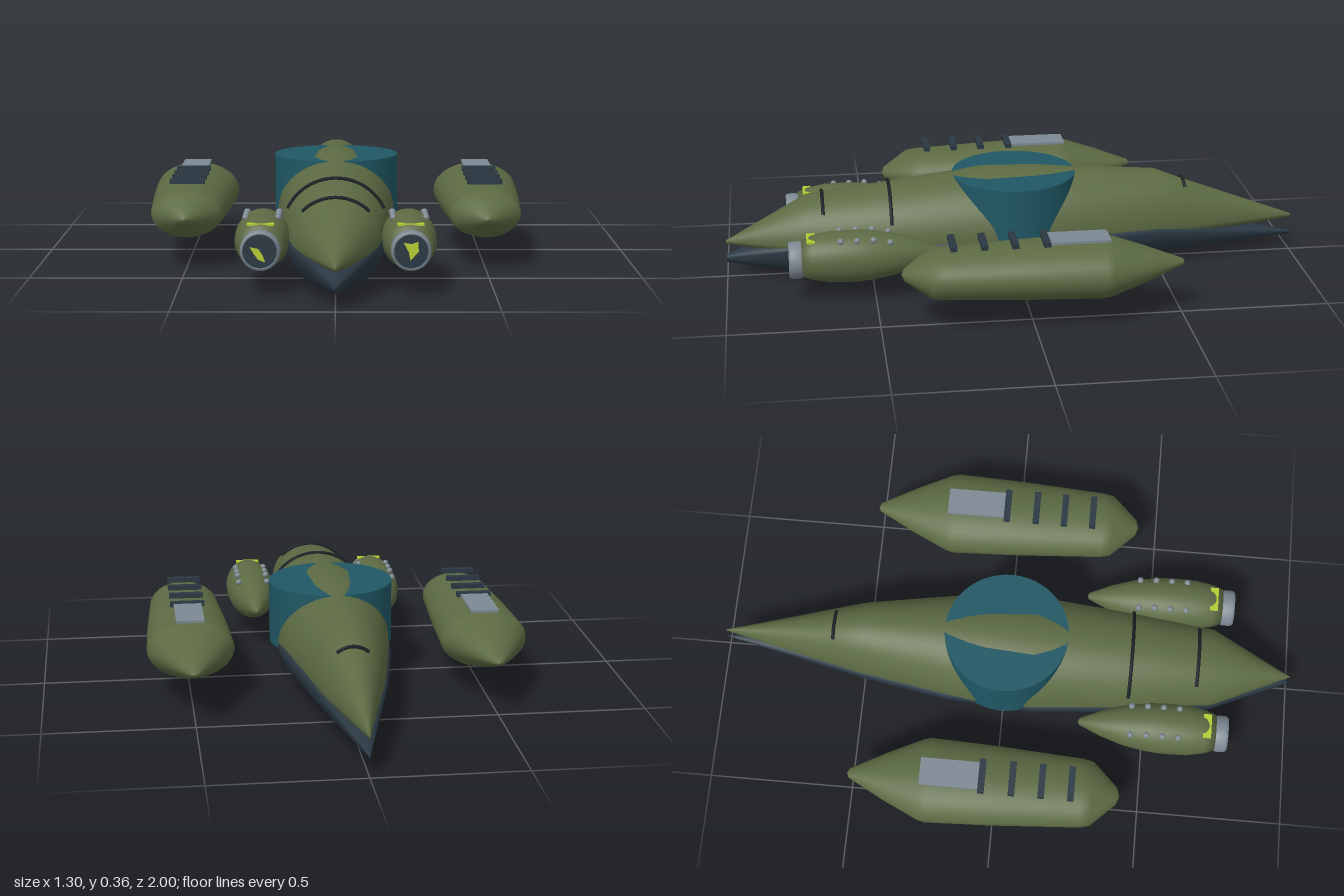
import * as THREE from 'three';

const mat = (name, color) => {
  const m = new THREE.MeshStandardMaterial({ color });
  m.name = name;
  return m;
};

// Hull stations: z, half width, widest height, top, bottom
const UPPER = [
  [1, 0, 0.13, 0.136, 0.122], [0.72, 0.137, 0.15, 0.285, 0.085], [0.42, 0.172, 0.15, 0.32, 0.07],
  [0.1, 0.2, 0.15, 0.36, 0.06], [-0.07, 0.195, 0.15, 0.356, 0.06], [-0.2, 0.178, 0.15, 0.347, 0.06],
  [-0.5, 0.124, 0.15, 0.328, 0.075], [-0.6, 0.1, 0.147, 0.288, 0.085], [-1, 0, 0.132, 0.138, 0.125],
];
const LOWER = [
  [1, 0, 0.07, 0.085, 0.055], [0.72, 0.142, 0.14, 0.19, 0.008], [0.42, 0.178, 0.14, 0.2, 0.003],
  [0.1, 0.206, 0.14, 0.2, 0.002], [-0.2, 0.186, 0.14, 0.2, 0.011], [-0.5, 0.132, 0.135, 0.18, 0.027],
  [-1, 0, 0.068, 0.075, 0.061],
];

// Station values at any z
function stationAt(st, z) {
  const i = Math.max(1, st.findIndex(s => s[0] <= z));
  const a = st[i - 1], b = st[i], t = (a[0] - z) / (a[0] - b[0]);
  return a.map((v, k) => v + (b[k] - v) * t);
}

function ringPoint([z, w, y, top, bottom], a, grow = 0) {
  const s = Math.sin(a);
  const h = s >= 0 ? top - y : y - bottom;
  return new THREE.Vector3((w + grow) * Math.cos(a), y + (h + grow) * s, z);
}

function loft(stations, n = 48) {
  const pos = [], idx = [];
  stations.forEach(s => {
    for (let j = 0; j < n; j++) pos.push(...ringPoint(s, (j / n) * Math.PI * 2).toArray());
  });
  for (let i = 0; i < stations.length - 1; i++) {
    for (let j = 0; j < n; j++) {
      const k = (j + 1) % n, f = i * n, b = f + n;
      idx.push(b + j, b + k, f + j, b + k, f + k, f + j);
    }
  }
  const g = new THREE.BufferGeometry();
  g.setAttribute('position', new THREE.Float32BufferAttribute(pos, 3));
  g.setIndex(idx);
  g.computeVertexNormals();
  return g;
}

// Lathe around the z axis from [radius, z] points, z rising
const latheZ = (pts, n = 40) =>
  new THREE.LatheGeometry(pts.map(p => new THREE.Vector2(...p)), n).rotateX(Math.PI / 2);

export function createModel() {
  const model = new THREE.Group();
  const green = mat('olive green', 0x5c6a43);
  const navy = mat('dark navy', 0x2a3843);
  const teal = mat('deep teal', 0x1f5764);
  const grey = mat('steel grey', 0x7d8993);
  const lime = mat('lime', 0xb4cc33);
  const seam = mat('seam black', 0x1a2226);

  const add = (parent, name, geo, material, x = 0, y = 0, z = 0) => {
    const m = new THREE.Mesh(geo, material);
    m.name = name;
    m.position.set(x, y, z);
    parent.add(m);
    return m;
  };

  // Hull shells and the turret disc
  add(model, 'upperHull', loft(UPPER), green);
  add(model, 'lowerHull', loft(LOWER), navy);
  add(model, 'turretDisc', new THREE.CylinderGeometry(0.213, 0.213, 0.215, 64), teal, 0, 0.2375, 0);

  // Raised seams across the back of the hull
  [[0.435, 25], [0.665, 44], [-0.6, 60]].forEach(([z, deg]) => {
    const s = stationAt(UPPER, z), a0 = THREE.MathUtils.degToRad(deg), pts = [];
    for (let i = 0; i <= 16; i++) pts.push(ringPoint(s, a0 + (Math.PI - 2 * a0) * i / 16, 0.004));
    add(model, 'hullSeam', new THREE.TubeGeometry(new THREE.CatmullRomCurve3(pts), 32, 0.006, 6), seam);
  });

  // Lime patches on the engine faces, one per side
  const patches = {
    '1': [[-0.024, 0.028], [0, 0.024], [0.021, 0.031], [0.023, 0], [-0.003, -0.028], [-0.008, -0.002]],
    '-1': [[-0.031, 0.014], [-0.004, 0.008], [0.009, -0.012], [0.017, -0.034], [-0.006, -0.025], [-0.018, -0.008]],
  };

  for (const side of [1, -1]) {
    const label = side > 0 ? 'left' : 'right';

    // Outer pod
    const pod = new THREE.Group();
    pod.name = label + 'Pod';
    pod.position.set(side * 0.5, 0.182, 0);
    model.add(pod);
    const body = latheZ([[0, -0.505], [0.016, -0.498], [0.085, -0.37], [0.142, -0.25], [0.148, -0.225],
      [0.139, 0], [0.12, 0.3], [0.112, 0.335], [0.03, 0.42], [0, 0.43]]);
    add(pod, 'podBody', body.scale(1, 0.67, 1), green);
    add(pod, 'podPlate', new THREE.BoxGeometry(0.095, 0.009, 0.2), grey, 0, 0.102, -0.15);
    for (const z of [-0.04, 0.063, 0.163, 0.263]) {
      add(pod, 'podBar', new THREE.BoxGeometry(0.118, 0.016, 0.022), navy, 0, 0.103, z);
    }

    // Engine nacelle
    const engine = new THREE.Group();
    engine.name = label + 'Engine';
    engine.position.set(side * 0.235, 0.151, 0);
    model.add(engine);
    add(engine, 'engineBody', latheZ([[0, 0.268], [0.012, 0.274], [0.045, 0.35], [0.07, 0.43], [0.084, 0.51],
      [0.088, 0.57], [0.086, 0.65], [0.075, 0.71], [0.062, 0.745], [0, 0.745]]), green);
    add(engine, 'engineRing', latheZ([[0.057, 0.74], [0.063, 0.75], [0.063, 0.778], [0.058, 0.788],
      [0.053, 0.788], [0.053, 0.75]]), grey, 0, -0.006, 0);
    add(engine, 'engineFace', new THREE.CylinderGeometry(0.054, 0.054, 0.036, 32).rotateX(Math.PI / 2),
      navy, 0, -0.006, 0.767);
    const patch = new THREE.Shape(patches[side].map(p => new THREE.Vector2(...p)));
    add(engine, 'enginePatch', new THREE.ExtrudeGeometry(patch, { depth: 0.003, bevelEnabled: false }),
      lime, 0, -0.006, 0.785);
    add(engine, 'engineFlash', new THREE.BoxGeometry(0.085, 0.006, 0.028), lime, 0, 0.068, 0.713);

    // Two rows of rivets
    for (const z of [0.45, 0.505, 0.56, 0.615]) {
      for (const s of [1, -1]) {
        add(engine, 'rivet', new THREE.SphereGeometry(0.011, 10, 8), grey, s * 0.052, z < 0.5 ? 0.062 : 0.072, z);
      }
    }
  }
  return model;
}
